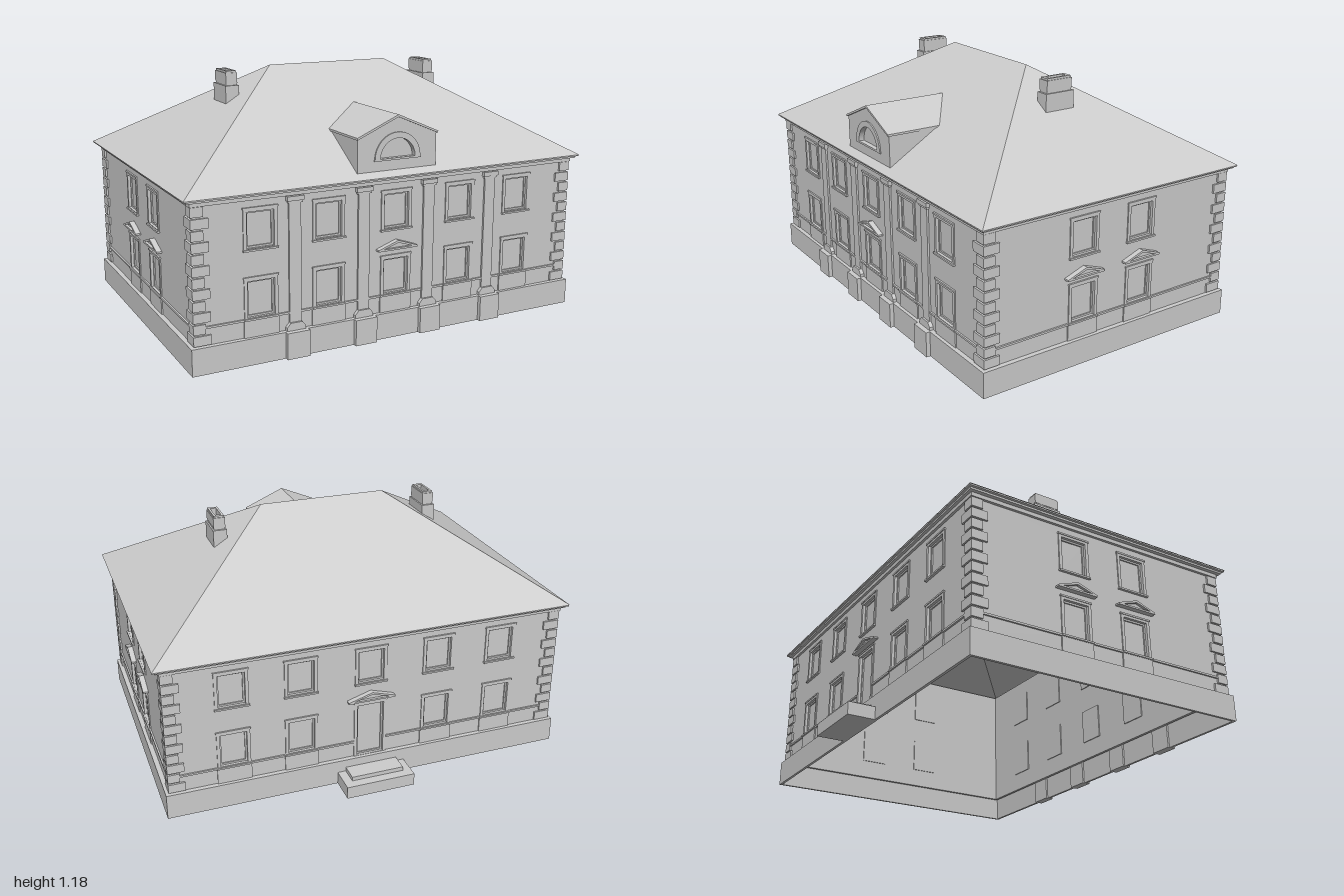
import * as THREE from 'three';

const stone = new THREE.MeshStandardMaterial({ color: 0xcccccc, side: THREE.DoubleSide });
stone.name = 'stone';

const CZ = 0.058;                       // middle of the house in z
const WALL = { x: 0.955, z: 0.662 };    // half sizes of the wall faces
const EAVE = 0.752, RIDGE = 1.182;
const ROOF = { x: 1.0, z: 0.7, ridge: 0.31 };
const COLUMNS = [-0.657, -0.337, 0, 0.337, 0.657];

function add(parent, name, geometry, x = 0, y = 0, z = 0) {
  const m = new THREE.Mesh(geometry, stone);
  m.name = name;
  m.position.set(x, y, z);
  parent.add(m);
  return m;
}

// box from its bottom centre y0 to y1, with z from z0 to z1
function block(parent, name, x, w, y0, y1, z0, z1) {
  return add(parent, name, new THREE.BoxGeometry(w, y1 - y0, z1 - z0), x, (y0 + y1) / 2, (z0 + z1) / 2);
}

const poly = (pts) => new THREE.Shape(pts.map(([x, y]) => new THREE.Vector2(x, y)));
const rect = (x0, x1, y0, y1) => poly([[x0, y0], [x1, y0], [x1, y1], [x0, y1]]);
const extrude = (shape, depth) =>
  new THREE.ExtrudeGeometry(shape, { depth, bevelEnabled: false, curveSegments: 20 });

function frameShape(outer, inner) {
  outer.holes.push(inner);
  return outer;
}

// horizontal band that runs round the house, hollow inside
function ring(parent, name, hx, hz, y0, y1, ix = WALL.x - 0.015, iz = WALL.z - 0.015) {
  const g = extrude(frameShape(rect(-hx, hx, -hz, hz), rect(-ix, ix, -iz, iz)), y1 - y0);
  g.rotateX(-Math.PI / 2);
  add(parent, name, g, 0, y0, CZ);
}

// surround, pane, lintel and sill of one opening
function opening(wall, o) {
  const { x, w, y0, y1 } = o, h = w / 2;
  const s = 0.015;
  add(wall, o.door ? 'door' : 'windowPane', new THREE.BoxGeometry(w + 0.01, y1 - y0 + 0.01, 0.005), x, (y0 + y1) / 2, -0.0175);
  const shape = frameShape(rect(x - h - s, x + h + s, y0 - 0.005, y1 + s), rect(x - h, x + h, y0, y1));
  add(wall, 'surround', extrude(shape, 0.005));
  const inner = frameShape(rect(x - h, x + h, y0, y1), rect(x - h + 0.008, x + h - 0.008, y0 + 0.008, y1 - 0.008));
  add(wall, 'sash', extrude(inner, 0.006), 0, 0, -0.014);
  block(wall, 'lintel', x, w + 0.036, y1 + s - 0.004, y1 + s + 0.004, 0, 0.008);
  if (!o.door) block(wall, 'sill', x, w + 0.036, y0 - 0.011, y0 - 0.003, 0, 0.012);
  if (!o.door && y0 < 0.3) block(wall, 'apron', x, w + 0.036, 0.12, y0 - 0.01, 0, 0.006);
}

function pediment(wall, x, y, w = 0.2) {
  const h = w / 2, top = y + 0.043;
  add(wall, 'pedimentBack', extrude(poly([[x - h, y], [x + h, y], [x + h, y + 0.008], [x, top], [x - h, y + 0.008]]), 0.012));
  const rim = frameShape(
    poly([[x - h, y], [x + h, y], [x + h, y + 0.008], [x, top], [x - h, y + 0.008]]),
    poly([[x - h + 0.025, y + 0.008], [x + h - 0.025, y + 0.008], [x, top - 0.011]]));
  add(wall, 'pedimentRim', extrude(rim, 0.025));
}

// one wall in its own frame: x along, y up, +z outwards
function buildWall(name, half, openings) {
  const wall = new THREE.Group();
  wall.name = name;
  const shape = rect(-half, half, 0.11, 0.745);
  for (const o of openings) shape.holes.push(rect(o.x - o.w / 2, o.x + o.w / 2, o.y0, o.y1));
  add(wall, 'wallFace', extrude(shape, 0.015), 0, 0, -0.015);
  openings.forEach((o) => opening(wall, o));
  // string course, broken by a door
  const door = openings.find((o) => o.door);
  if (door) {
    const inner = door.w / 2 + 0.015, len = half - inner;
    for (const s of [-1, 1]) block(wall, 'stringCourse', s * (inner + len / 2), len, 0.195, 0.204, 0, 0.008);
  } else block(wall, 'stringCourse', 0, half * 2, 0.195, 0.204, 0, 0.008);
  // corner stones, long and short in turn
  for (let i = 0; i < 12; i++) {
    const len = i % 2 ? 0.055 : 0.078, y = 0.12 + i * 0.05;
    for (const s of [-1, 1]) block(wall, 'cornerStone', s * (half + 0.009 - len / 2), len, y + 0.004, y + 0.046, 0, 0.009);
  }
  return wall;
}

const row = (xs, y0, y1, w = 0.125) => xs.map((x) => ({ x, w, y0, y1 }));

function pilaster(wall, x) {
  block(wall, 'pilasterPedestal', x, 0.107, 0, 0.12, 0, 0.042);
  const foot = poly([[-0.045, 0.12], [0.045, 0.12], [0.045, 0.135], [0.028, 0.155], [-0.028, 0.155], [-0.045, 0.135]]);
  add(wall, 'pilasterBase', extrude(foot, 0.018), x);
  block(wall, 'pilasterShaft', x, 0.056, 0.15, 0.69, 0, 0.009);
  block(wall, 'pilasterCapital', x, 0.068, 0.685, 0.695, 0, 0.013);
  block(wall, 'pilasterCapital', x, 0.078, 0.695, 0.715, 0, 0.018);
}

function hippedRoof(parent) {
  const { x, z, ridge } = ROOF;
  const c = [[-x, EAVE, CZ + z], [x, EAVE, CZ + z], [x, EAVE, CZ - z], [-x, EAVE, CZ - z]];
  const l = [-ridge, RIDGE, CZ], r = [ridge, RIDGE, CZ];
  const tris = [c[0], c[1], r, c[0], r, l, c[1], c[2], r, c[2], c[3], l, c[2], l, r, c[3], c[0], l];
  const g = new THREE.BufferGeometry();
  g.setAttribute('position', new THREE.Float32BufferAttribute(tris.flat(), 3));
  g.computeVertexNormals();
  add(parent, 'roof', g);
}

// extrude forwards to zFront and trim the back end along the front roof slope
function trimmedToRoof(shape, zFront) {
  const g = extrude(shape, 1), p = g.attributes.position;
  for (let i = 0; i < p.count; i++) {
    const roofZ = CZ + ROOF.z * (1 - (p.getY(i) - EAVE) / (RIDGE - EAVE)) - 0.004;
    p.setZ(i, p.getZ(i) > 0.5 ? zFront : Math.min(roofZ, zFront));
  }
  g.computeVertexNormals();
  return g;
}

function dormer(parent) {
  const d = new THREE.Group();
  d.name = 'dormer';
  const gable = () => poly([[-0.2, 0.775], [0.2, 0.775], [0.2, 0.925], [0, 1.01], [-0.2, 0.925]]);
  const halfRound = (r) => new THREE.Shape().absarc(0, 0.828, r, 0, Math.PI, false);
  add(d, 'dormerBody', trimmedToRoof(gable(), 0.702));
  add(d, 'dormerFront', extrude(frameShape(gable(), halfRound(0.088)), 0.02), 0, 0, 0.702);
  const arch = new THREE.Shape();
  arch.absarc(0, 0.828, 0.115, 0, Math.PI, false);
  arch.absarc(0, 0.828, 0.088, Math.PI, 0, true);
  add(d, 'archMoulding', extrude(arch, 0.006), 0, 0, 0.722);
  block(d, 'archSill', 0, 0.235, 0.82, 0.829, 0.715, 0.728);
  const cover = poly([[-0.205, 0.922], [-0.205, 0.932], [0, 1.02], [0.205, 0.932], [0.205, 0.922], [0, 1.009]]);
  add(d, 'dormerRoof', trimmedToRoof(cover, 0.73));
  parent.add(d);
}

function chimney(parent, x) {
  const c = new THREE.Group();
  c.name = 'chimney';
  c.position.x = x;
  block(c, 'chimneyBase', 0, 0.066, 1.02, 1.105, -0.02, 0.133);
  // hollow stack with slightly drawn-in top
  const stack = (hx, hz, y0, y1) => {
    const g = extrude(frameShape(rect(-hx, hx, -hz, hz), rect(-0.014, 0.014, -0.046, 0.046)), y1 - y0);
    g.rotateX(-Math.PI / 2);
    add(c, 'chimneyStack', g, 0, y0, 0.057);
  };
  stack(0.026, 0.066, 1.105, 1.115);
  stack(0.028, 0.068, 1.115, 1.163);
  stack(0.024, 0.064, 1.163, 1.172);
  parent.add(c);
}

export function createModel() {
  const house = new THREE.Group();
  house.name = 'house';

  // plinth, eaves and roof
  ring(house, 'plinth', 0.978, 0.684, 0, 0.12, 0.965, 0.671);
  ring(house, 'plinthTop', 0.978, 0.684, 0.115, 0.12);
  ring(house, 'frieze', 0.967, 0.674, 0.718, 0.736);
  ring(house, 'cornice', 0.985, 0.688, 0.736, 0.745);
  ring(house, 'eaves', 0.997, 0.698, 0.745, EAVE);
  hippedRoof(house);
  dormer(house);
  [-0.533, 0.533].forEach((x) => chimney(house, x));

  // front with pilasters
  const front = buildWall('frontWall', WALL.x, [...row(COLUMNS, 0.51, 0.668), ...row(COLUMNS, 0.207, 0.368)]);
  [-0.5, -0.167, 0.167, 0.5].forEach((x) => pilaster(front, x));
  pediment(front, 0, 0.413);
  front.position.z = CZ + WALL.z;

  // back with the door and steps
  const sideColumns = COLUMNS.filter((x) => x !== 0);
  const back = buildWall('backWall', WALL.x, [
    ...row(COLUMNS, 0.51, 0.668), ...row(sideColumns, 0.207, 0.368),
    { x: 0, w: 0.13, y0: 0.122, y1: 0.39, door: true }]);
  pediment(back, 0, 0.418, 0.23);
  back.position.z = CZ - WALL.z;
  back.rotation.y = Math.PI;
  block(house, 'lowerStep', 0, 0.335, 0, 0.06, -0.757, -0.626);
  block(house, 'upperStep', 0, 0.255, 0.06, 0.08, -0.713, -0.626);

  // two matching sides
  const sides = [1, -1].map((s) => {
    const side = buildWall(s > 0 ? 'leftWall' : 'rightWall', WALL.z,
      [...row([-0.158, 0.158], 0.51, 0.668), ...row([-0.158, 0.158], 0.207, 0.368)]);
    [-0.158, 0.158].forEach((x) => pediment(side, x, 0.412));
    side.position.set(s * WALL.x, 0, CZ);
    side.rotation.y = s * Math.PI / 2;
    return side;
  });
  house.add(front, back, ...sides);
  return house;
}
